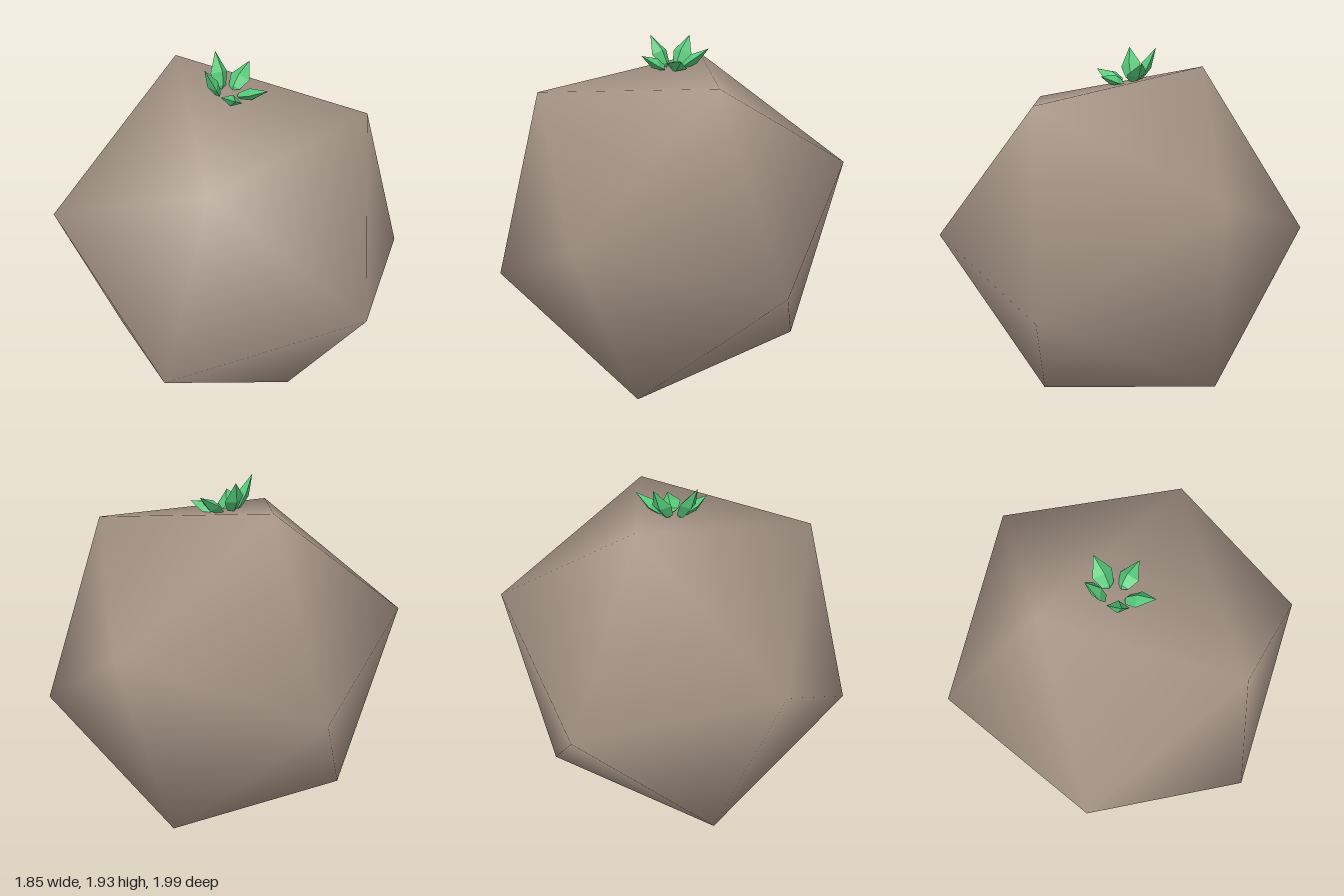
import * as THREE from 'three';

const v = (x, y, z) => new THREE.Vector3(x, y, z);

// Tilted icosahedral boulder with sphere-like smooth normals
function makeRock() {
  const geo = new THREE.IcosahedronGeometry(1.016, 0);
  const left = v(-0.64, 0.71, 0.345), right = v(0.41, 0.75, 0.55); // ends of the upper front edge
  const x = right.clone().sub(left).normalize();
  const z = x.clone().cross(right.clone().add(left)).normalize();
  const y = z.clone().cross(x);
  geo.applyMatrix4(new THREE.Matrix4().makeBasis(x, y, z));

  const pos = geo.attributes.position, n = v(0, 0, 0);
  for (let i = 0; i < pos.count; i++) {
    n.fromBufferAttribute(pos, i).normalize();
    geo.attributes.normal.setXYZ(i, n.x, n.y, n.z);
  }
  const rock = new THREE.Mesh(geo, new THREE.MeshStandardMaterial({ color: 0xa89688 }));
  rock.name = 'rock';
  rock.position.y = 0.92;
  return rock;
}

// Faceted pointed leaf of unit length, growing along +y
function leafGeometry() {
  const profile = [[0, 0], [0.6, 0.1], [1, 0.45], [0, 1]].map(([r, h]) => new THREE.Vector2(r, h));
  return new THREE.LatheGeometry(profile, 4);
}

// Rosette of five leaves around a small open centre
function makePlant() {
  const plant = new THREE.Group();
  plant.name = 'plant';
  const geo = leafGeometry();
  const material = new THREE.MeshStandardMaterial({ color: 0x55c878, flatShading: true });
  const centre = v(0, 1.755, -0.045);
  const tips = [
    v(0.2, 1.86, -0.06), v(0.1, 1.79, 0.14), v(-0.13, 1.82, 0.11),
    v(-0.14, 1.935, -0.08), v(0.06, 1.935, -0.175),
  ];
  tips.forEach((tip, i) => {
    const angle = THREE.MathUtils.degToRad(-7 + i * 72);
    const out = v(Math.cos(angle), 0, Math.sin(angle));
    const base = centre.clone().addScaledVector(out, 0.048);
    base.y -= 0.15 * out.z * 0.05;
    const along = tip.clone().sub(base);
    const length = along.length();
    along.normalize();
    const side = along.clone().cross(out).normalize();
    const face = side.clone().cross(along);

    const leaf = new THREE.Mesh(geo, material);
    leaf.name = 'leaf' + (i + 1);
    leaf.position.copy(base);
    leaf.quaternion.setFromRotationMatrix(new THREE.Matrix4().makeBasis(side, along, face));
    leaf.scale.set(0.056, length, 0.03);
    plant.add(leaf);
  });
  return plant;
}

export function createModel() {
  const model = new THREE.Group();
  model.name = 'rockWithPlant';
  model.add(makeRock(), makePlant());
  return model;
}
